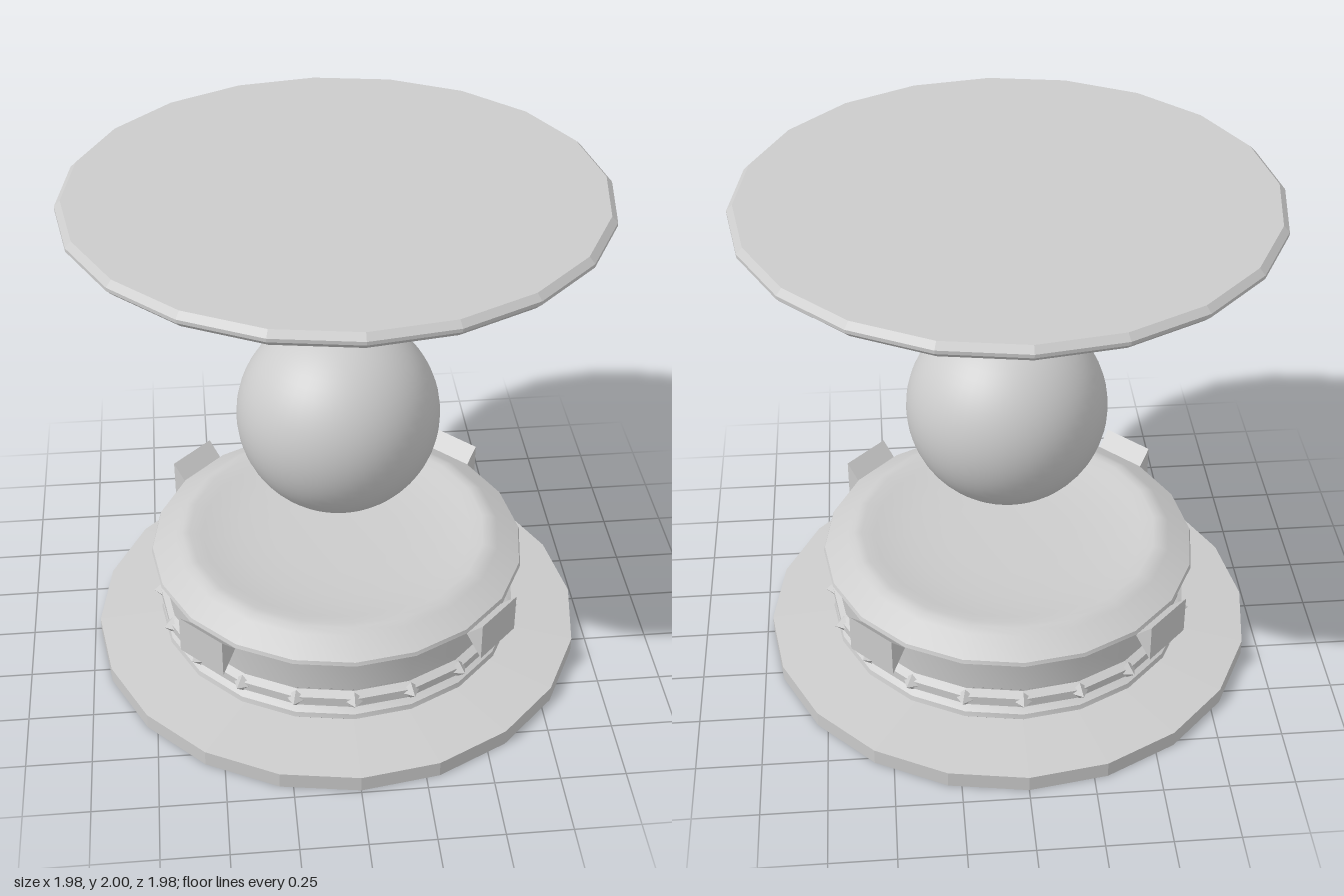
import * as THREE from 'three';
import { toCreasedNormals } from 'three/addons/utils/BufferGeometryUtils.js';

const SIDES = 20;
const smooth = new THREE.MeshStandardMaterial({ color: 0xcccccc });
const faceted = new THREE.MeshStandardMaterial({ color: 0xcccccc, flatShading: true });

// Twenty-sided turned part; profile runs bottom to top as [radius, y]
function turned(name, profile, crease) {
  const points = profile.map(([r, y]) => new THREE.Vector2(r, y));
  const lathe = new THREE.LatheGeometry(points, SIDES);
  const mesh = crease
    ? new THREE.Mesh(toCreasedNormals(lathe, crease), smooth)
    : new THREE.Mesh(lathe, faceted);
  mesh.name = name;
  return mesh;
}

// Wide foot, moulded drum and shallow dish
function createBase() {
  const base = new THREE.Group();
  base.name = 'base';
  base.position.z = 0.015;

  base.add(turned('foot', [[0, 0], [0.975, 0], [0.975, 0.065], [0.6, 0.098]]));
  base.add(turned('drum', [
    [0.6, 0.09], [0.7, 0.095], [0.72, 0.115], [0.715, 0.135], [0.69, 0.15],
    [0.69, 0.165], [0.69, 0.24], [0.7, 0.25], [0.705, 0.39], [0.745, 0.41],
    [0.74, 0.425], [0.65, 0.475], [0.62, 0.49], [0.59, 0.49],
    [0.54, 0.475], [0.4, 0.452], [0.245, 0.443], [0, 0.443],
  ], 0.6));
  base.add(turned('studBand', [[0.68, 0.165], [0.72, 0.185], [0.72, 0.218], [0.68, 0.24]]));

  // Pyramid studs at each corner of the band
  const studShape = new THREE.ConeGeometry(0.04, 0.04, 4).rotateX(Math.PI / 2).translate(0, 0, 0.727);
  for (let i = 0; i < SIDES; i++) {
    const stud = new THREE.Mesh(studShape, faceted);
    stud.name = 'stud';
    stud.position.y = 0.203;
    stud.rotation.y = (i / SIDES) * Math.PI * 2;
    base.add(stud);
  }

  // Four wedge clasps: flat outer plate, ridge towards the drum
  const wedge = new THREE.Shape([
    new THREE.Vector2(0.8, 0.315),
    new THREE.Vector2(0.8, 0.475),
    new THREE.Vector2(0.73, 0.4),
  ]);
  const claspShape = new THREE.ExtrudeGeometry(wedge, { depth: 0.22, bevelEnabled: false })
    .translate(0, 0, -0.11);
  for (let i = 0; i < 4; i++) {
    const clasp = new THREE.Mesh(claspShape, faceted);
    clasp.name = 'clasp';
    clasp.rotation.y = Math.PI / 4 + (i * Math.PI) / 2;
    base.add(clasp);
  }
  return base;
}

// Slightly tilted floating disc with a stepped boss underneath
function createLid() {
  const lid = new THREE.Group();
  lid.name = 'lid';
  lid.position.y = 1.95;
  lid.rotation.x = -0.011;
  lid.add(turned('lidDisc', [[0.7, -0.035], [0.965, -0.019], [0.99, 0.005], [0.99, 0.018], [0.968, 0.04], [0, 0.04]]));
  lid.add(turned('lidBoss', [
    [0, -0.153], [0.19, -0.153], [0.23, -0.12], [0.28, -0.085], [0.34, -0.065],
    [0.36, -0.05], [0.5, -0.048], [0.64, -0.046], [0.7, -0.035],
  ], 0.8));
  return lid;
}

export function createModel() {
  const model = new THREE.Group();
  model.name = 'floatingOrbPedestal';

  const orb = new THREE.Mesh(new THREE.SphereGeometry(0.388, 48, 32), smooth);
  orb.name = 'orb';
  orb.position.set(0.003, 1.062, 0.043);

  model.add(createBase(), orb, createLid());
  return model;
}
